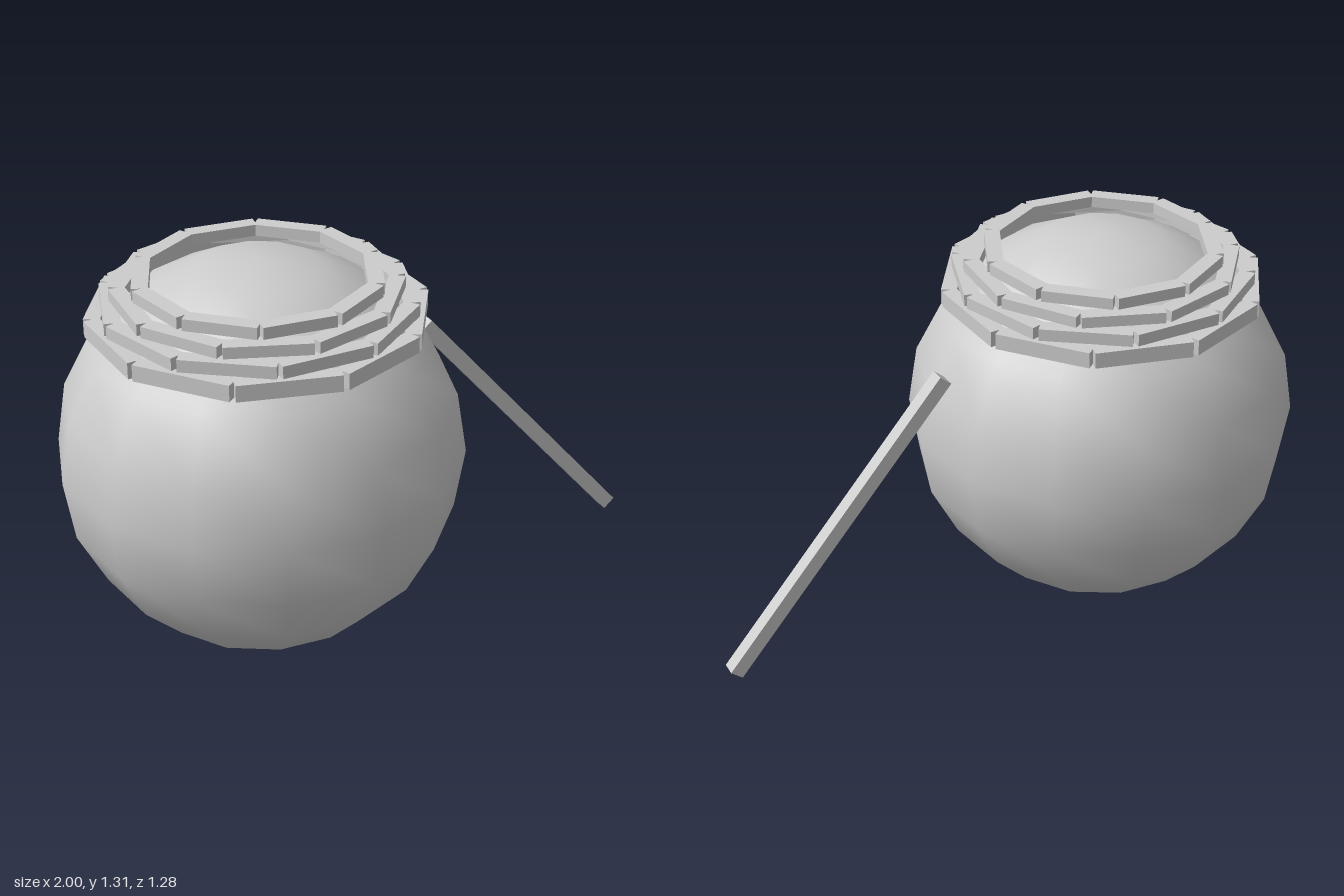
import * as THREE from 'three';

const CX = -0.345; // the dome and its block rings share this axis

export function createModel() {
  const model = new THREE.Group();
  const grey = new THREE.MeshStandardMaterial({ color: 0xcccccc });
  grey.name = 'light grey';

  // Round body
  const body = new THREE.Mesh(new THREE.SphereGeometry(0.655, 14, 10), grey);
  body.name = 'roundBody';
  body.position.set(CX, 0.66, 0);
  model.add(body);

  // Four stepped rings of ten blocks, each ring turned a little further
  const rings = [
    { apothem: 0.515, bottom: 1.106, top: 1.159 },
    { apothem: 0.480, bottom: 1.159, top: 1.199 },
    { apothem: 0.437, bottom: 1.199, top: 1.236 },
    { apothem: 0.382, bottom: 1.236, top: 1.274 },
  ];
  const count = 10, depth = 0.052;
  const step = (2 * Math.PI) / count;
  rings.forEach(({ apothem, bottom, top }, i) => {
    const ring = new THREE.Group();
    ring.name = `blockRing${i + 1}`;
    ring.position.set(CX, (bottom + top) / 2, 0);
    // Blocks meet near their inner edge, leaving narrow wedge gaps outside
    const width = 2 * Math.tan(step / 2) * (apothem - 0.03);
    const geometry = new THREE.BoxGeometry(depth, top - bottom, width);
    const turn = THREE.MathUtils.degToRad(21 * i);
    for (let k = 0; k < count; k++) {
      const angle = turn + (k + 0.5) * step;
      const block = new THREE.Mesh(geometry, grey);
      block.name = 'block';
      const r = apothem - depth / 2;
      block.position.set(r * Math.cos(angle), 0, r * Math.sin(angle));
      block.rotation.y = -angle;
      ring.add(block);
    }
    model.add(ring);
  });

  // Square rod leaning against the body
  const high = new THREE.Vector3(0.23, 0.944, 0.189);
  const low = new THREE.Vector3(0.972, 0.042, 0.468);
  const rod = new THREE.Mesh(new THREE.BoxGeometry(0.05, 0.05, high.distanceTo(low)), grey);
  rod.name = 'leaningRod';
  rod.position.copy(high).add(low).multiplyScalar(0.5);
  rod.lookAt(low);
  model.add(rod);

  return model;
}
